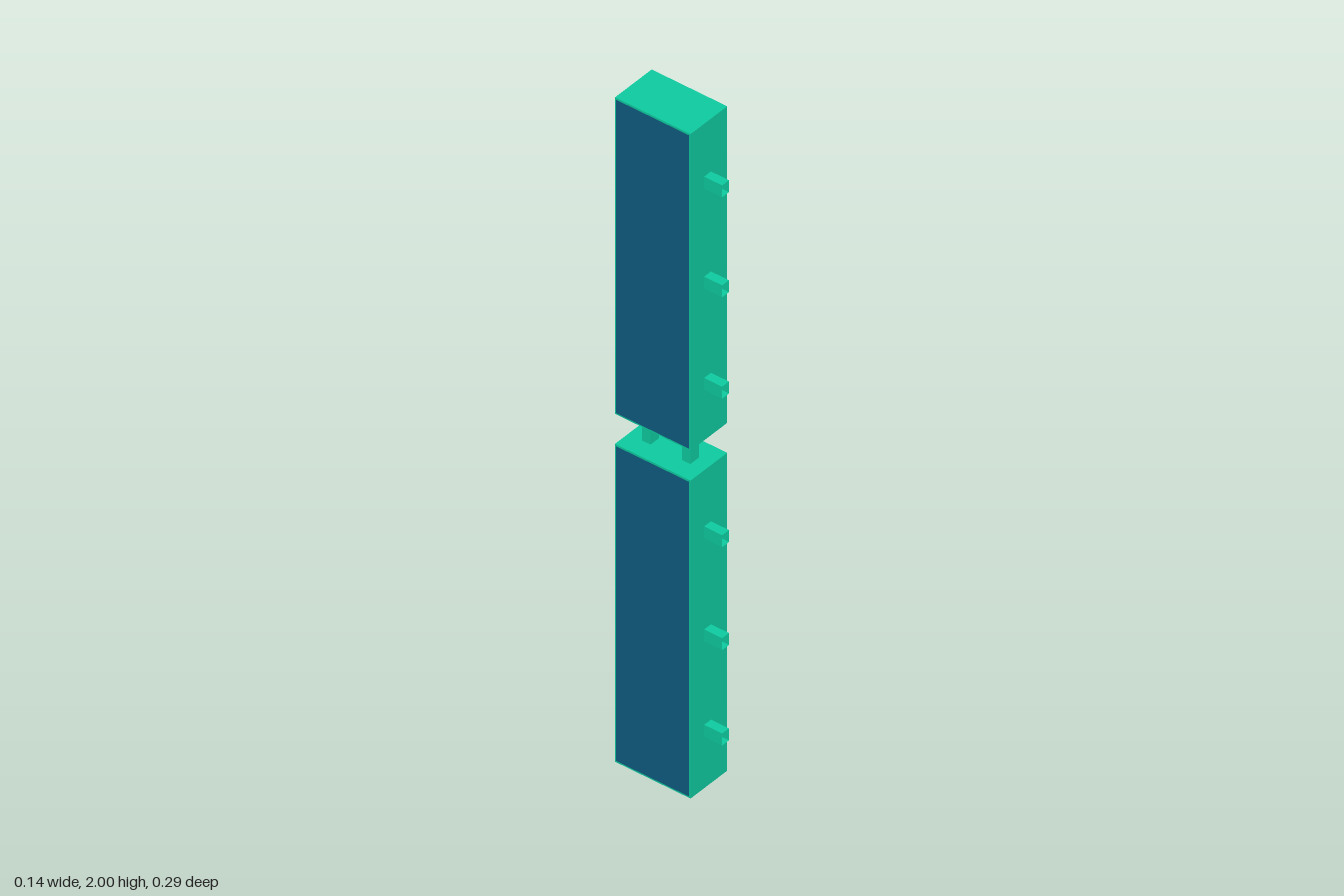
import * as THREE from 'three';

const green = new THREE.MeshStandardMaterial({ color: 0x0ecca0 });
const blue = new THREE.MeshStandardMaterial({ color: 0x0d5c82 });
const tubeGreen = new THREE.MeshStandardMaterial({ color: 0x0ecca0, side: THREE.DoubleSide, flatShading: true });

function add(parent, name, geometry, material, x, y, z) {
  const mesh = new THREE.Mesh(geometry, material);
  mesh.name = name;
  mesh.position.set(x, y, z);
  parent.add(mesh);
  return mesh;
}

// Square tube with open ends, running along y
function squareTube(w, length, d) {
  return new THREE.CylinderGeometry(Math.SQRT1_2, Math.SQRT1_2, 1, 4, 1, true)
    .rotateY(Math.PI / 4)
    .scale(w, length, d);
}

export function createModel() {
  const model = new THREE.Group();
  model.name = 'jointedPost';
  const width = 0.14, back = -0.143, front = 0.088;
  const depth = front - back, midZ = (front + back) / 2;

  // Two stacked blocks, each with a blue panel on both sides and three front pegs
  const blocks = [
    { name: 'lowerBlock', y0: 0, y1: 0.957, pegs: [0.173, 0.46, 0.77] },
    { name: 'upperBlock', y0: 1.047, y1: 2, pegs: [1.217, 1.522, 1.823] },
  ];
  for (const { name, y0, y1, pegs } of blocks) {
    const block = new THREE.Group();
    block.name = name;
    model.add(block);
    const h = y1 - y0, midY = (y0 + y1) / 2;
    add(block, 'body', new THREE.BoxGeometry(width, h, depth), green, 0, midY, midZ);
    for (const side of [-1, 1]) {
      const panel = add(block, side > 0 ? 'leftPanel' : 'rightPanel',
        new THREE.PlaneGeometry(depth - 0.008, h - 0.01), blue, side * (width / 2 + 0.001), midY, midZ);
      panel.rotation.y = side * Math.PI / 2;
    }
    for (const y of pegs) {
      add(block, 'peg', squareTube(0.026, 0.055, 0.036).rotateX(Math.PI / 2), tubeGreen, -0.005, y, front + 0.0275);
    }
  }

  // Short posts joining the blocks
  for (const z of [0.034, -0.088]) {
    add(model, 'connector', squareTube(0.033, 0.09, 0.026), tubeGreen, -0.003, 1.002, z);
  }
  return model;
}
